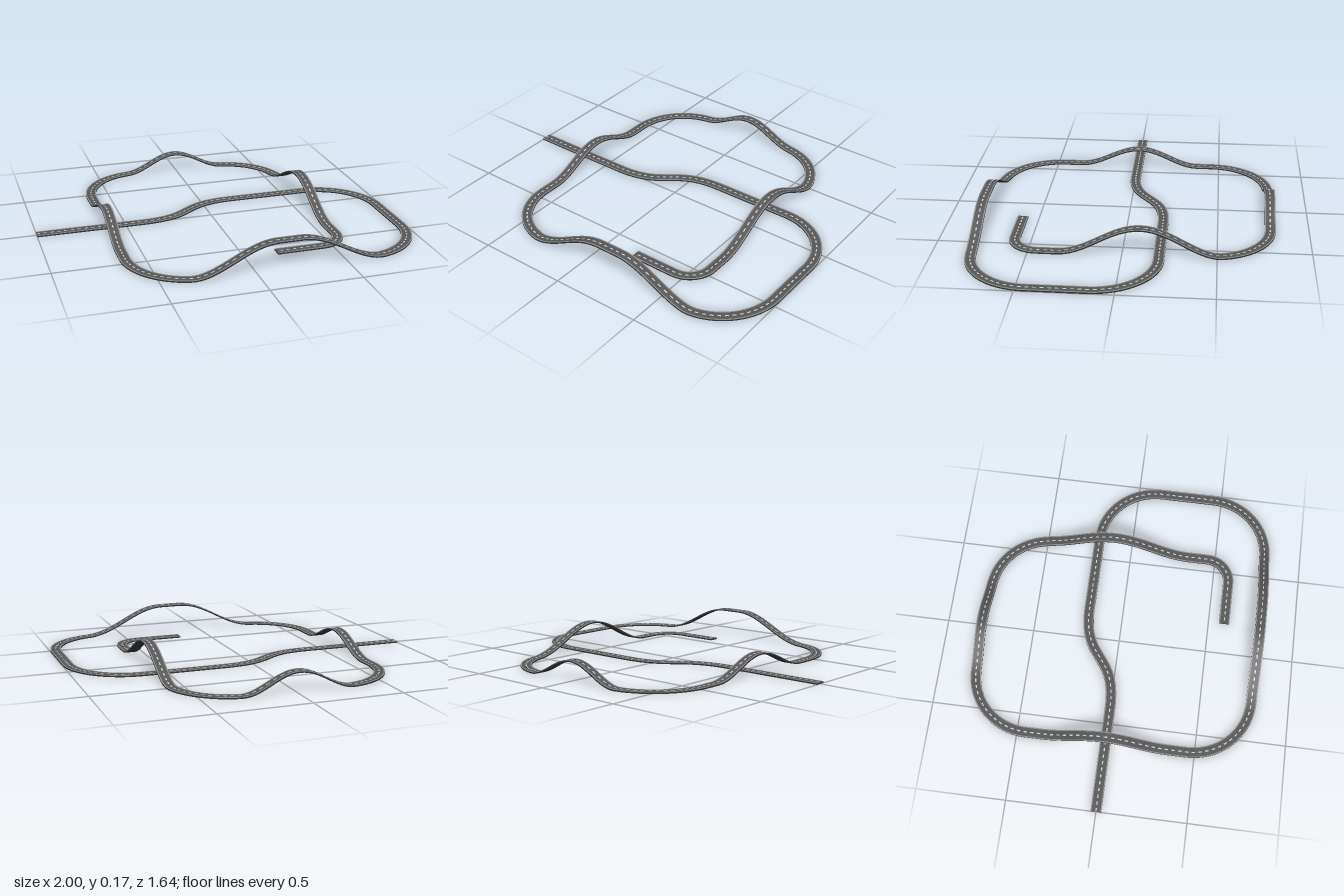
import * as THREE from 'three';

const U = 0.197;          // layout unit
const STEPS = 440;        // samples along the road
const HALF = 0.03;        // half width of the road
const X = k => -1 + k * U;

// Plan of the road: path x -> x, path y -> z
function planPath() {
  const p = new THREE.Path();
  // quarter turn inside the corner (x, z); sx, sz point outwards to it
  const turn = (x, z, sx, sz, r, from) =>
    p.absarc(x - sx * r, z - sz * r, r, from, from + Math.PI / 2, false);
  const R = 0.335, Q = Math.PI / 2;
  p.moveTo(-1, 0);
  p.lineTo(X(3), 0);
  p.bezierCurveTo(X(4.7), 0, X(4.3), -U, X(6), -U);
  turn(X(10), -U, 1, -1, R, -Q);
  turn(X(10), 4 * U, 1, 1, R, 0);
  turn(X(2), 4 * U, -1, 1, R, Q);
  turn(X(2), -4 * U, -1, -1, R, 2 * Q);
  turn(X(8), -4 * U, 1, -1, R, -Q);
  turn(X(8), 3 * U, 1, 1, 0.135, 0);
  p.lineTo(X(6), 3 * U);
  return p;
}

// Humps and bridges: centre in plan, height, half plateau, ramp length
const HUMPS = [
  { x: X(6), z: 4 * U, h: 0.157, flat: 0.06, ramp: 0.47 },
  { x: X(2), z: 0, h: 0.105, flat: 0, ramp: 0.36 },
  { x: X(5), z: -4 * U, h: 0.105, flat: 0, ramp: 0.31 },
  { x: X(8), z: -U / 2, h: 0.151, flat: 0, ramp: 0.44 },
];

// Position, sideways and upward vectors at every sample
function roadFrames() {
  const path = planPath();
  const plan = path.getSpacedPoints(STEPS);
  const ds = path.getLength() / STEPS;
  const pts = plan.map(p => new THREE.Vector3(p.x, 0, p.y));
  for (const { x, z, h, flat, ramp } of HUMPS) {
    let mid = 0, best = Infinity;
    // the first fifth of the road passes under a bridge, so skip it
    for (let i = Math.floor(STEPS / 5); i <= STEPS; i++) {
      const d = Math.hypot(plan[i].x - x, plan[i].y - z);
      if (d < best) { best = d; mid = i; }
    }
    pts.forEach((p, i) => {
      const t = THREE.MathUtils.clamp((Math.abs(i - mid) * ds - flat) / ramp, 0, 1);
      p.y += h * (0.5 + 0.5 * Math.cos(Math.PI * t));
    });
  }
  return pts.map((pos, i) => {
    const tan = pts[Math.min(i + 1, STEPS)].clone().sub(pts[Math.max(i - 1, 0)]).normalize();
    const side = new THREE.Vector3(-tan.z, 0, tan.x).normalize();
    return { pos, side, up: side.clone().cross(tan) };
  });
}

// Sweep rectangular bars along the frames; spans is a list of [first, last]
function sweep(frames, a0, a1, b0, b1, spans) {
  const profile = [[a0, b1], [a1, b1], [a1, b0], [a0, b0]];
  const verts = [], index = [];
  const add = (f, [a, b]) => {
    const v = f.pos.clone().addScaledVector(f.side, a).addScaledVector(f.up, b);
    return verts.push(v.x, v.y, v.z) / 3 - 1;
  };
  for (const [first, last] of spans) {
    // four long faces, each with its own vertices for sharp edges
    profile.forEach((p, k) => {
      const q = profile[(k + 1) % 4];
      for (let i = first; i <= last; i++) {
        const m = add(frames[i], p), n = add(frames[i], q);
        if (i > first) index.push(m - 2, n - 2, m, n - 2, n, m);
      }
    });
    // end caps
    const s = profile.map(p => add(frames[first], p));
    index.push(s[0], s[2], s[1], s[0], s[3], s[2]);
    const e = profile.map(p => add(frames[last], p));
    index.push(e[0], e[1], e[2], e[0], e[2], e[3]);
  }
  const geo = new THREE.BufferGeometry();
  geo.setAttribute('position', new THREE.Float32BufferAttribute(verts, 3));
  geo.setIndex(index);
  geo.computeVertexNormals();
  return geo;
}

export function createModel() {
  const group = new THREE.Group();
  group.name = 'roadTrack';
  const frames = roadFrames();
  const all = [[0, STEPS]];
  const part = (name, geo, color) => {
    const mesh = new THREE.Mesh(geo, new THREE.MeshStandardMaterial({ color }));
    mesh.name = name;
    group.add(mesh);
  };

  // Dark slab with the asphalt on top
  part('roadBase', sweep(frames, -HALF, HALF, 0, 0.0075, all), 0x303030);
  part('asphalt', sweep(frames, -HALF + 0.005, HALF - 0.005, 0.006, 0.0085, all), 0x565656);

  // Pale borders
  part('rightKerb', sweep(frames, HALF - 0.006, HALF, 0.0075, 0.0095, all), 0x8c8c8c);
  part('leftKerb', sweep(frames, -HALF, -HALF + 0.006, 0.0075, 0.0095, all), 0x8c8c8c);

  // Dashed centre line
  const dashes = [];
  for (let i = 0; i < STEPS; i += 2) dashes.push([i, i + 1]);
  part('centreDashes', sweep(frames, -0.0035, 0.0035, 0.0075, 0.0092, dashes), 0xd0d0d0);

  return group;
}
